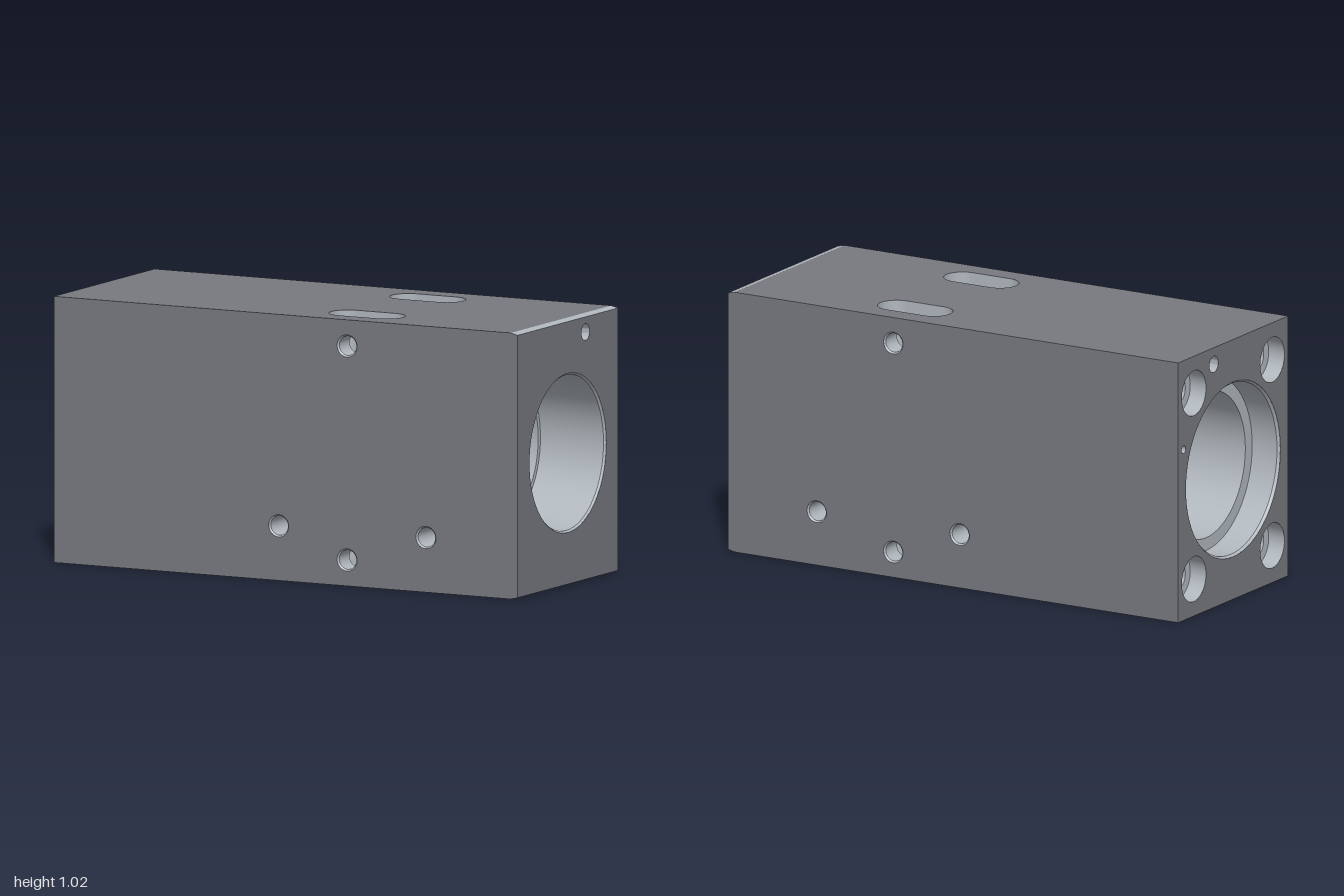
import * as THREE from 'three';
import { toCreasedNormals } from 'three/addons/utils/BufferGeometryUtils.js';
import { ParametricGeometry } from 'three/addons/geometries/ParametricGeometry.js';

const H = 1.02, CY = H / 2, D = 0.4;               // block height, axis height, half depth
const BORE = 0.215;                                // narrow middle bore
const SX = 0.265, SZ = 0.24, SR = 0.0725, SL = 0.0825; // slot centre, end radius, half straight
const PIN = 0.037, RIM = 0.043, CUT = 0.006;       // cross hole radius, countersink radius and depth
const CH = 0.007;                                  // end chamfer height
const pins = [[SX, 0.92], [SX, 0.1], [-0.03, 0.21], [0.605, 0.21]];
const bolts = [0.145, 0.875].flatMap(y => [-0.285, 0.285].map(z => [z, y]));

export function createModel() {
  const group = new THREE.Group();
  // Dark outer skin, bright machined surfaces
  const skin = new THREE.MeshStandardMaterial({ color: 0x77797f, side: THREE.DoubleSide });
  const bare = new THREE.MeshStandardMaterial({ color: 0xb0b7bd, side: THREE.DoubleSide });
  const add = (name, geo, mat = bare) => {
    const mesh = new THREE.Mesh(geo, mat);
    mesh.name = name;
    group.add(mesh);
    return mesh;
  };

  const circle = (u, v, r) => new THREE.Path().absarc(u, v, r, 0, Math.PI * 2, true);

  // Flat panel with holes, drawn in (u, v) and placed by a mapping to x, y, z
  const panel = (name, mat, outline, holes, place) => {
    const shape = new THREE.Shape(outline.map(p => new THREE.Vector2(...p)));
    shape.holes.push(...holes);
    const geo = new THREE.ShapeGeometry(shape, 48);
    const pos = geo.attributes.position;
    for (let i = 0; i < pos.count; i++) pos.setXYZ(i, ...place(pos.getX(i), pos.getY(i)));
    // flat panel: one normal from the mapped axes
    const [o, a, b] = [place(0, 0), place(1, 0), place(0, 1)].map(p => new THREE.Vector3(...p));
    const n = a.sub(o).cross(b.sub(o)).normalize();
    for (let i = 0; i < pos.count; i++) geo.attributes.normal.setXYZ(i, n.x, n.y, n.z);
    add(name, geo, mat);
  };
  const rect = (u0, v0, u1, v1) => [[u0, v0], [u1, v0], [u1, v1], [u0, v1]];

  // Turned hole along x from [x, radius] points
  const turned = (name, profile, y, z, sides = 64) => {
    const geo = new THREE.LatheGeometry(profile.map(([x, r]) => new THREE.Vector2(r, x)), sides);
    geo.rotateZ(-Math.PI / 2);
    add(name, toCreasedNormals(geo.toNonIndexed(), 0.5)).position.set(0, y, z);
  };

  const surface = (name, fn, nu, nv) => {
    const geo = new ParametricGeometry(fn, nu, nv);
    geo.computeVertexNormals();
    add(name, geo);
  };

  // Front and back sides, with the chamfered right end
  const side = [[-1, 0], [0.97, 0], [1, CH], [1, H - CH], [0.97, H], [-1, H]];
  const rims = pins.map(([x, y]) => circle(x, y, RIM));
  panel('frontSide', skin, side, rims, (u, v) => [u, v, D]);
  panel('backSide', skin, side.map(([x, y]) => [-x, y]),
    pins.map(([x, y]) => circle(-x, y, RIM)), (u, v) => [-u, v, -D]);

  // Top and bottom, each with two rounded slots, and their end chamfers
  const slotPath = z => {
    const p = new THREE.Path();
    p.absarc(SX + SL, z, SR, -Math.PI / 2, Math.PI / 2, false);
    p.absarc(SX - SL, z, SR, Math.PI / 2, Math.PI * 1.5, false);
    p.closePath();
    return p;
  };
  for (const s of [1, -1]) {
    const y = CY + s * CY, y1 = y - s * CH, word = s > 0 ? 'top' : 'bottom';
    panel(word + 'Side', skin, rect(-1, -D, 0.97, D),
      [slotPath(SZ), slotPath(-SZ)], (u, v) => [u, y, -s * v]);
    panel(word + 'Chamfer', bare, rect(0, -D, 1, D), [],
      (u, v) => [0.97 + 0.03 * u, y + (y1 - y) * u, -s * v]);
  }

  // End faces
  panel('rightEnd', skin, rect(-D, CH, D, H - CH),
    [circle(0, CY, 0.305), circle(0.14, 0.955, 0.032)], (u, v) => [1, v, -u]);
  panel('leftEnd', skin, rect(-D, 0, D, H),
    [circle(0, CY, 0.343), circle(-0.14, 0.955, 0.032), circle(-0.36, 0.67, 0.015),
      ...bolts.map(([z, y]) => circle(z, y, 0.088))], (u, v) => [-1, v, u]);

  // Stepped main bore
  turned('leftBore', [[-1, 0.343], [-0.99, 0.335], [-0.88, 0.335], [-0.88, 0.285],
    [-0.16, 0.285], [-0.16, 0.22], [-0.155, BORE], [SX - SL - SR, BORE]], CY, 0);
  turned('rightBore', [[SX + SL + SR, BORE], [0.665, BORE], [0.67, 0.22], [0.67, 0.28],
    [0.72, 0.28], [0.72, 0.298], [0.992, 0.298], [1, 0.305]], CY, 0);

  // Middle bore, opened where the slots break into it
  for (const s of [1, -1]) {
    surface('middleBore', (u, v, target) => {
      const x = SX + (SL + SR) * (2 * u - 1);
      const dx = Math.max(0, Math.abs(x - SX) - SL);
      const edge = SZ - Math.sqrt(Math.max(0, SR * SR - dx * dx));
      const phi = edge < BORE ? Math.acos(edge / BORE) : 0;
      const a = phi + v * (Math.PI - 2 * phi);
      target.set(x, CY + s * BORE * Math.sin(a), BORE * Math.cos(a));
    }, 80, 32);
  }

  // Slot walls: flat sides pierced by the cross holes, and rounded ends
  const gap = Math.sqrt(BORE ** 2 - (SZ - SR) ** 2);
  const pinHoles = [circle(SX, 0.1, PIN), circle(SX, 0.92, PIN)];
  for (const m of [1, -1]) {
    panel('slotOuterWall', bare, rect(SX - SL, 0, SX + SL, H), pinHoles,
      (u, v) => [u, v, m * (SZ + SR)]);
    panel('slotInnerWall', bare, rect(SX - SL, 0, SX + SL, CY - gap), [pinHoles[0]],
      (u, v) => [u, v, m * (SZ - SR)]);
    panel('slotInnerWall', bare, rect(SX - SL, CY + gap, SX + SL, H), [pinHoles[1]],
      (u, v) => [u, v, m * (SZ - SR)]);
    for (const e of [1, -1]) for (const s of [1, -1]) {
      surface('slotEnd', (u, v, target) => {
        const a = (u - 0.5) * Math.PI;
        const z = SZ + SR * Math.sin(a);
        const h = z < BORE ? Math.sqrt(BORE * BORE - z * z) : 0;
        target.set(SX + e * (SL + SR * Math.cos(a)), CY + s * (h + v * (CY - h)), m * z);
      }, 32, 4);
    }
  }

  // Cross holes, interrupted by the slots where they meet, with countersunk mouths
  const tube = (name, x, y, z0, z1, r0, r1) => {
    const geo = new THREE.CylinderGeometry(r1, r0, z1 - z0, 48, 1, true).rotateX(Math.PI / 2);
    add(name, geo).position.set(x, y, (z0 + z1) / 2);
  };
  const inner = SZ - SR, outer = SZ + SR, end = D - CUT;
  for (const [x, y] of pins) {
    const spans = x === SX ? [[-end, -outer], [-inner, inner], [outer, end]] : [[-end, end]];
    for (const [z0, z1] of spans) tube('crossHole', x, y, z0, z1, PIN, PIN);
    tube('frontCountersink', x, y, end, D, PIN, RIM);
    tube('backCountersink', x, y, -D, -end, RIM, PIN);
  }

  // Blind holes in the ends
  for (const [z, y] of bolts) {
    turned('boltHole', [[-1, 0.088], [-0.93, 0.088], [-0.93, 0.052], [-0.4, 0.052], [-0.4, 0]], y, z, 48);
  }
  turned('rightPort', [[0.75, 0], [0.75, 0.032], [1, 0.032]], 0.955, -0.14, 32);
  turned('leftPort', [[-1, 0.032], [-0.75, 0.032], [-0.75, 0]], 0.955, -0.14, 32);
  turned('locatingHole', [[-1, 0.015], [-0.9, 0.015], [-0.9, 0]], 0.67, -0.36, 24);

  return group;
}
